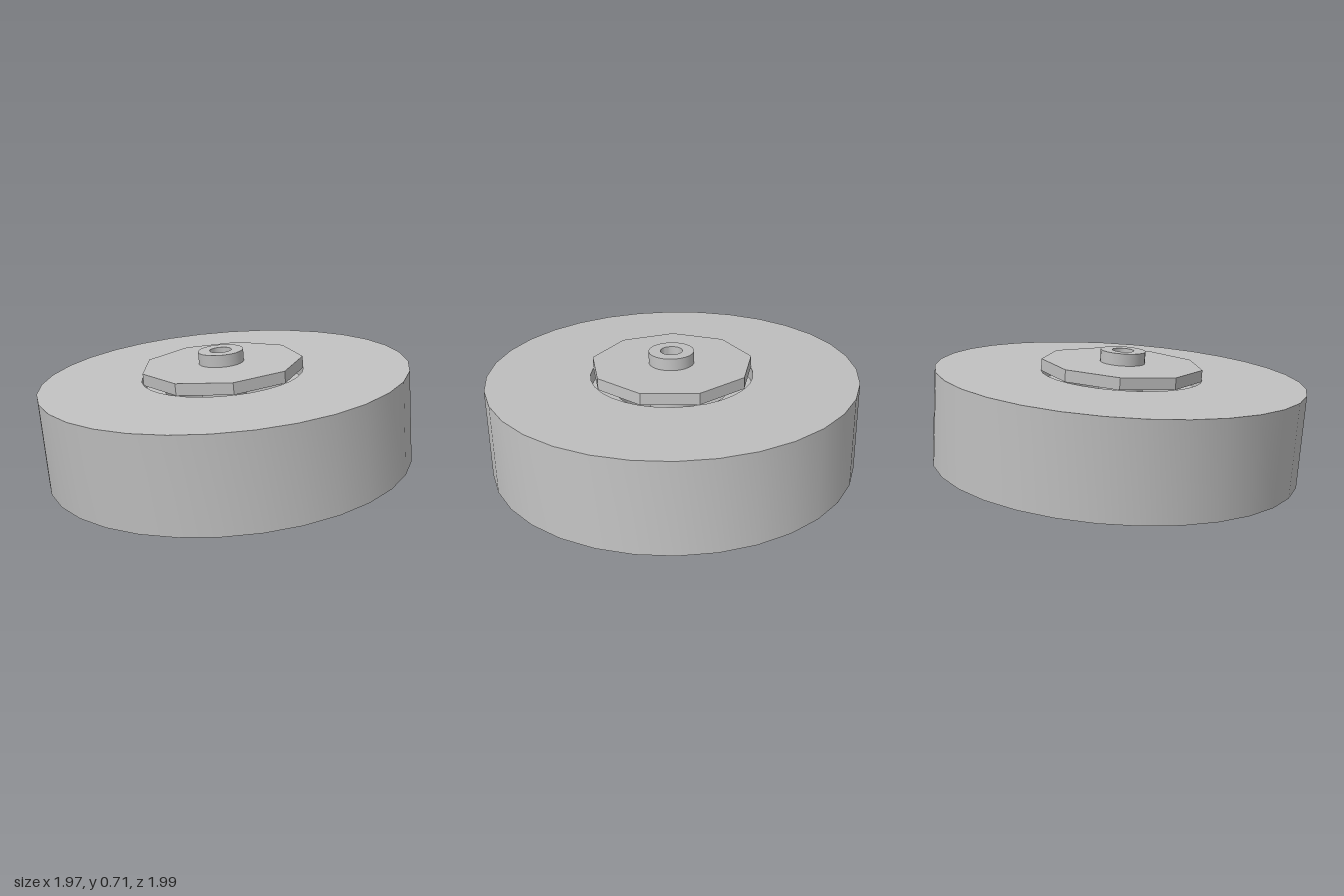
import * as THREE from 'three';
import { toCreasedNormals } from 'three/addons/utils/BufferGeometryUtils.js';

const grey = new THREE.MeshStandardMaterial({ color: 0xc0c0c0 });
grey.name = 'grey';

function part(name, geometry) {
  const mesh = new THREE.Mesh(toCreasedNormals(geometry, 0.6), grey);
  mesh.name = name;
  return mesh;
}

// Ring turned from a closed counter-clockwise (radius, height) profile
function ring(points, sides) {
  const profile = [...points, points[0]].map(([r, y]) => new THREE.Vector2(r, y));
  return new THREE.LatheGeometry(profile, sides, Math.PI / sides);
}

// Flat plate with a round hole; radiusAt gives the outline at each angle
function plate(sides, radiusAt, hole, bottom, height) {
  const points = [];
  for (let i = 0; i < sides; i++) {
    const a = (i / sides) * Math.PI * 2;
    points.push(new THREE.Vector2(Math.cos(a), Math.sin(a)).multiplyScalar(radiusAt(a)));
  }
  const shape = new THREE.Shape(points);
  shape.holes.push(new THREE.Path().absarc(0, 0, hole, 0, Math.PI * 2, true));
  const geo = new THREE.ExtrudeGeometry(shape, { depth: height, bevelEnabled: false, curveSegments: 12 });
  return geo.rotateX(-Math.PI / 2).translate(0, bottom, 0);
}

export function createModel() {
  const model = new THREE.Group();
  model.name = 'wheel';

  // Wheel body with a recess on each face and an inner web
  model.add(part('wheelBody', ring([
    [0.43, -0.245], [0.981, -0.245], [0.981, 0.245], [0.43, 0.245],
    [0.43, 0.17], [0.31, 0.17], [0.31, -0.155], [0.43, -0.155],
  ], 32)));

  // Nine-sided cap on the upper face
  model.add(part('hubCap', plate(9, () => 0.43, 0.1, 0.246, 0.062)));

  // Hollow axle ending in a boss above the cap
  model.add(part('axle', ring([
    [0.058, -0.184], [0.12, -0.184], [0.12, 0.372], [0.058, 0.372],
  ], 24)));

  // Lower plate with two ears reaching over the web
  const earAngle = THREE.MathUtils.degToRad(108);
  const earRadius = (a) => {
    const c = Math.abs(Math.cos(a - earAngle));
    return 0.23 + 0.095 * THREE.MathUtils.smoothstep(c, 0.74, 0.88);
  };
  model.add(part('earedPlate', plate(72, earRadius, 0.058, -0.185, 0.03)));

  // Two stop lugs on the web
  for (const side of [-1, 1]) {
    const lug = part('stopLug', new THREE.BoxGeometry(0.13, 0.065, 0.03));
    lug.position.set(-0.224 * side, -0.185, 0.275 * side);
    lug.rotation.y = Math.atan2(-0.63, 0.77);
    model.add(lug);
  }

  // The whole wheel leans slightly forward and to its right
  const lean = new THREE.Vector3(-0.03, 1, 0.086).normalize();
  model.quaternion.setFromUnitVectors(new THREE.Vector3(0, 1, 0), lean);
  model.position.y = 0.333;

  const root = new THREE.Group();
  root.name = 'leaningWheel';
  root.add(model);
  return root;
}
